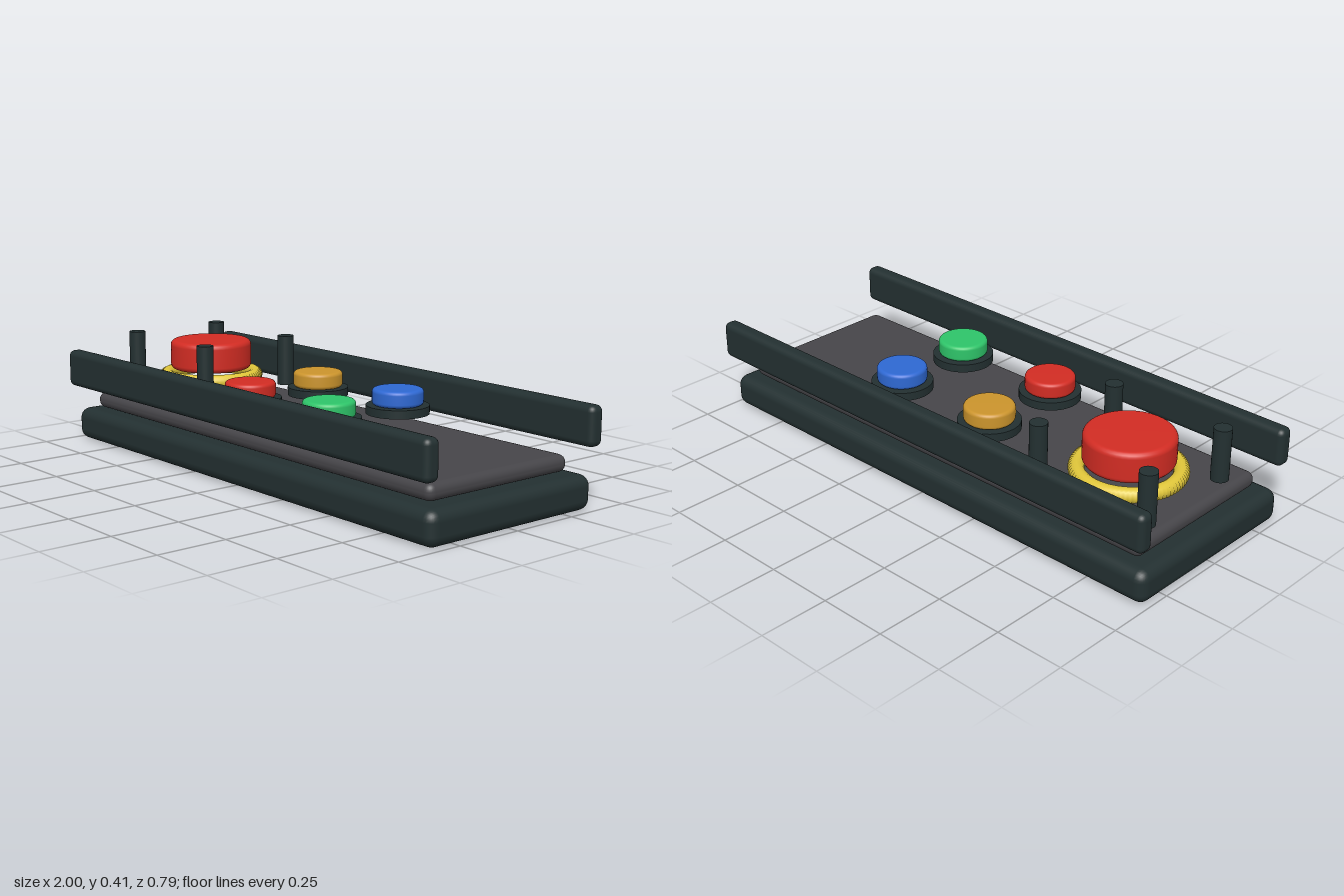
import * as THREE from 'three';
import { RoundedBoxGeometry } from 'three/addons/geometries/RoundedBoxGeometry.js';

const mat = (name, color) => {
  const m = new THREE.MeshStandardMaterial({ color });
  m.name = name;
  return m;
};

// Disc with rounded top and bottom rims, standing on y = 0
function roundedDisc(radius, height, bevel, steps = 5) {
  const pts = [new THREE.Vector2(0, 0)];
  for (let i = 0; i <= steps; i++) {
    const a = -Math.PI / 2 + (i / steps) * Math.PI / 2;
    pts.push(new THREE.Vector2(radius - bevel + bevel * Math.cos(a), bevel + bevel * Math.sin(a)));
  }
  for (let i = 0; i <= steps; i++) {
    const a = (i / steps) * Math.PI / 2;
    pts.push(new THREE.Vector2(radius - bevel + bevel * Math.cos(a), height - bevel + bevel * Math.sin(a)));
  }
  pts.push(new THREE.Vector2(0, height));
  return new THREE.LatheGeometry(pts, 48);
}

// Round ring with fine grip ridges on its outer side
function ridgedRing(radius, tube, teeth) {
  const geo = new THREE.TorusGeometry(radius, tube, 16, teeth * 2);
  geo.rotateX(Math.PI / 2);
  const p = geo.attributes.position;
  for (let i = 0; i < p.count; i++) {
    const x = p.getX(i), z = p.getZ(i);
    const r = Math.hypot(x, z);
    if (r <= radius + tube * 0.5) continue;
    const index = Math.round((Math.atan2(z, x) / Math.PI) * teeth);
    const s = (r + (index % 2 === 0 ? 0.003 : -0.003)) / r;
    p.setX(i, x * s);
    p.setZ(i, z * s);
  }
  return geo;
}

export function createModel() {
  const model = new THREE.Group();
  model.name = 'controlPanel';

  const dark = mat('dark casing', 0x233031);
  const grey = mat('grey panel', 0x464549);
  const red = mat('red', 0xd22c23);
  const yellow = mat('yellow', 0xe0c63a);
  const amber = mat('amber', 0xcb942c);
  const blue = mat('blue', 0x2e68d2);
  const green = mat('green', 0x2ec469);

  const add = (name, geo, material, x, y, z) => {
    const mesh = new THREE.Mesh(geo, material);
    mesh.name = name;
    mesh.position.set(x, y, z);
    model.add(mesh);
    return mesh;
  };

  // Casing and face plate
  add('base', new RoundedBoxGeometry(1.98, 0.12, 0.725, 3, 0.038), dark, 0, 0.06, 0);
  add('facePlate', new RoundedBoxGeometry(1.856, 0.059, 0.62, 3, 0.027), grey, 0, 0.1535, 0);

  // Front and back rails
  for (const [name, side] of [['frontRail', 1], ['backRail', -1]]) {
    add(name, new RoundedBoxGeometry(2, 0.138, 0.059, 3, 0.022), dark, 0, 0.278, side * 0.3635);
  }

  // Large stop button with its ring
  const sx = -0.675, sz = -0.053;
  add('stopRing', ridgedRing(0.17, 0.026, 80), yellow, sx, 0.247, sz);
  add('stopButton', roundedDisc(0.155, 0.112, 0.02), red, sx, 0.273, sz);

  // Four guard posts around the stop button
  const postGeo = new THREE.CylinderGeometry(0.031, 0.031, 0.189, 24);
  for (const dx of [-0.225, 0.225]) {
    for (const dz of [-0.19, 0.19]) {
      add('guardPost', postGeo, dark, sx + dx, 0.3125, sz + dz);
    }
  }

  // Small push buttons, each on a dark collar
  const collarGeo = new THREE.CylinderGeometry(0.111, 0.111, 0.03, 40);
  const buttonGeo = roundedDisc(0.09, 0.058, 0.013);
  const buttons = [
    ['amber', amber, -0.14, -0.147],
    ['blue', blue, 0.29, -0.147],
    ['red', red, -0.14, 0.164],
    ['green', green, 0.29, 0.164],
  ];
  for (const [name, material, x, z] of buttons) {
    add(name + 'Collar', collarGeo, dark, x, 0.252, z);
    add(name + 'Button', buttonGeo, material, x, 0.2675, z);
  }

  return model;
}
